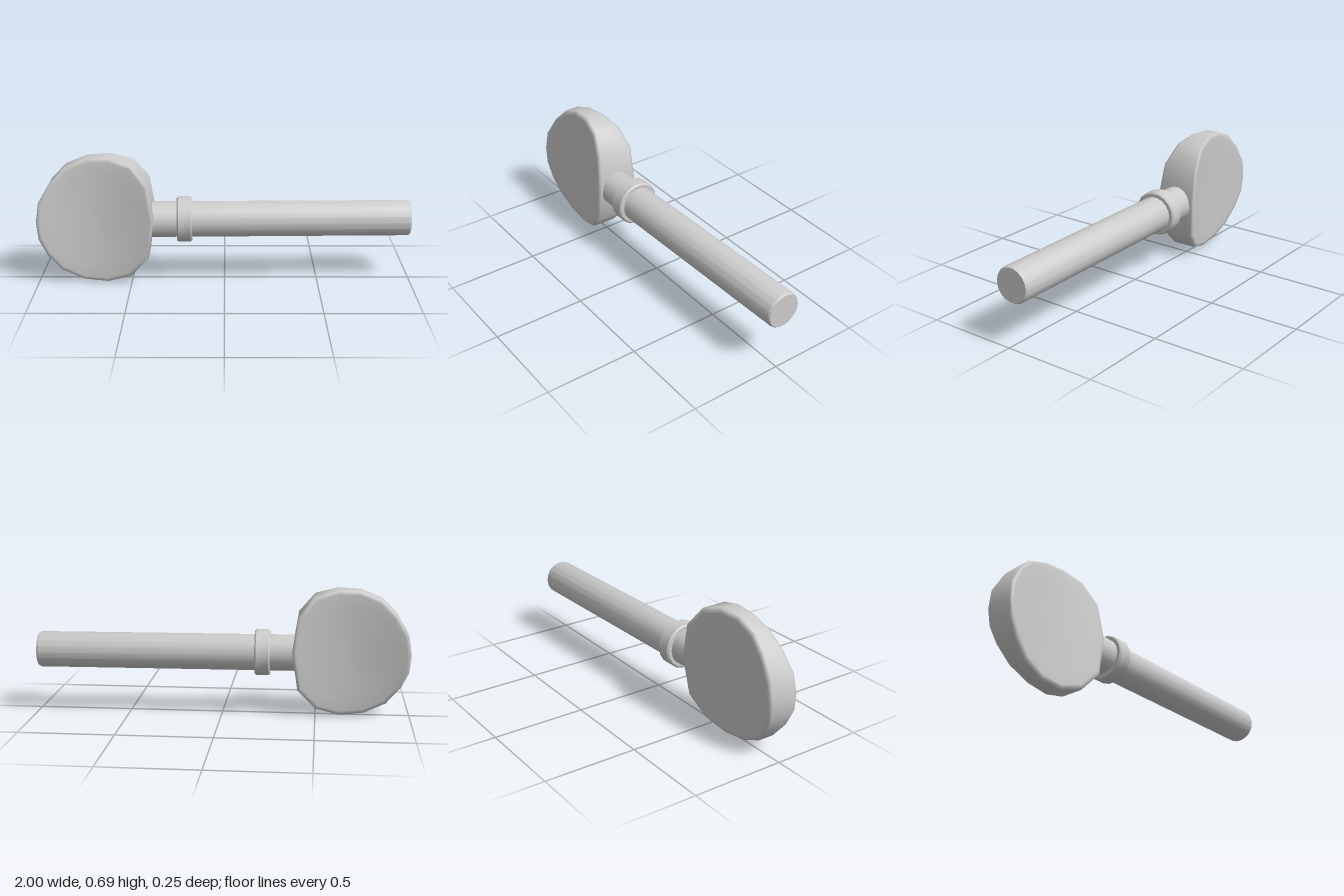
import * as THREE from 'three';
import { toCreasedNormals } from 'three/addons/utils/BufferGeometryUtils.js';

const material = new THREE.MeshStandardMaterial({ color: 0xcccccc });
const AXIS_Y = 0.338;
const AXIS_Z = -0.008;
const YAW = 0.02;

// Round part turned along the x axis; profile is [radius, x] pairs
function turned(name, profile) {
  const points = profile.map(([r, x]) => new THREE.Vector2(r, x));
  const geometry = new THREE.LatheGeometry(points, 18).rotateZ(-Math.PI / 2);
  const mesh = new THREE.Mesh(toCreasedNormals(geometry, 0.6), material);
  mesh.name = name;
  mesh.position.set(0, AXIS_Y, AXIS_Z);
  mesh.rotation.y = YAW;
  return mesh;
}

// Disc-shaped grip: a rounded outline whose two faces are hollowed along x
function gripGeometry() {
  const outline = [
    [-1, 0.345], [-0.985, 0.45], [-0.92, 0.56], [-0.84, 0.64],
    [-0.73, 0.685], [-0.61, 0.69], [-0.49, 0.655], [-0.405, 0.55],
    [-0.375, 0.36], [-0.405, 0.15], [-0.5, 0.045], [-0.63, 0.005],
    [-0.76, 0.018], [-0.875, 0.075], [-0.95, 0.165], [-0.99, 0.25],
  ];
  const cx = -0.68, cy = 0.345, n = outline.length;
  const halfThickness = (x) => 0.051 + 0.55 * (x + 0.74) ** 2;

  // Rings run from the front centre, over the rim, to the back centre:
  // [scale, edge drop, side]
  const front = [[0, 0], [0.25, 0], [0.5, 0], [0.75, 0], [0.93, 0], [0.98, 0.004], [1, 0.018]];
  const rings = [
    ...front.map(([s, d]) => [s, d, 1]),
    ...front.slice().reverse().map(([s, d]) => [s, d, -1]),
  ];
  const positions = [], indices = [];
  rings.forEach(([s, drop, side], i) => {
    outline.forEach(([ox, oy], j) => {
      const x = cx + (ox - cx) * s;
      const y = cy + (oy - cy) * s;
      // slight twist relative to the shaft
      const lean = -0.05 * (y - cy) - YAW * x + AXIS_Z;
      positions.push(x, y, side * (halfThickness(x) - drop) + lean);
      if (i === rings.length - 1) return;
      const a = i * n + j, b = i * n + (j + 1) % n;
      indices.push(a, b + n, a + n, a, b, b + n);
    });
  });
  const geometry = new THREE.BufferGeometry();
  geometry.setAttribute('position', new THREE.Float32BufferAttribute(positions, 3));
  geometry.setIndex(indices);
  geometry.computeVertexNormals();
  return geometry;
}

export function createModel() {
  const group = new THREE.Group();
  group.name = 'tuningPeg';

  const grip = new THREE.Mesh(gripGeometry(), material);
  grip.name = 'grip';
  group.add(grip);

  group.add(turned('shaft', [
    [0, -0.45], [0.097, -0.45], [0.096, 0.985], [0.09, 0.995], [0, 0.995],
  ]));

  group.add(turned('collar', [
    [0.09, -0.256], [0.115, -0.256], [0.123, -0.248],
    [0.123, -0.182], [0.115, -0.174], [0.09, -0.174],
  ]));
  return group;
}
